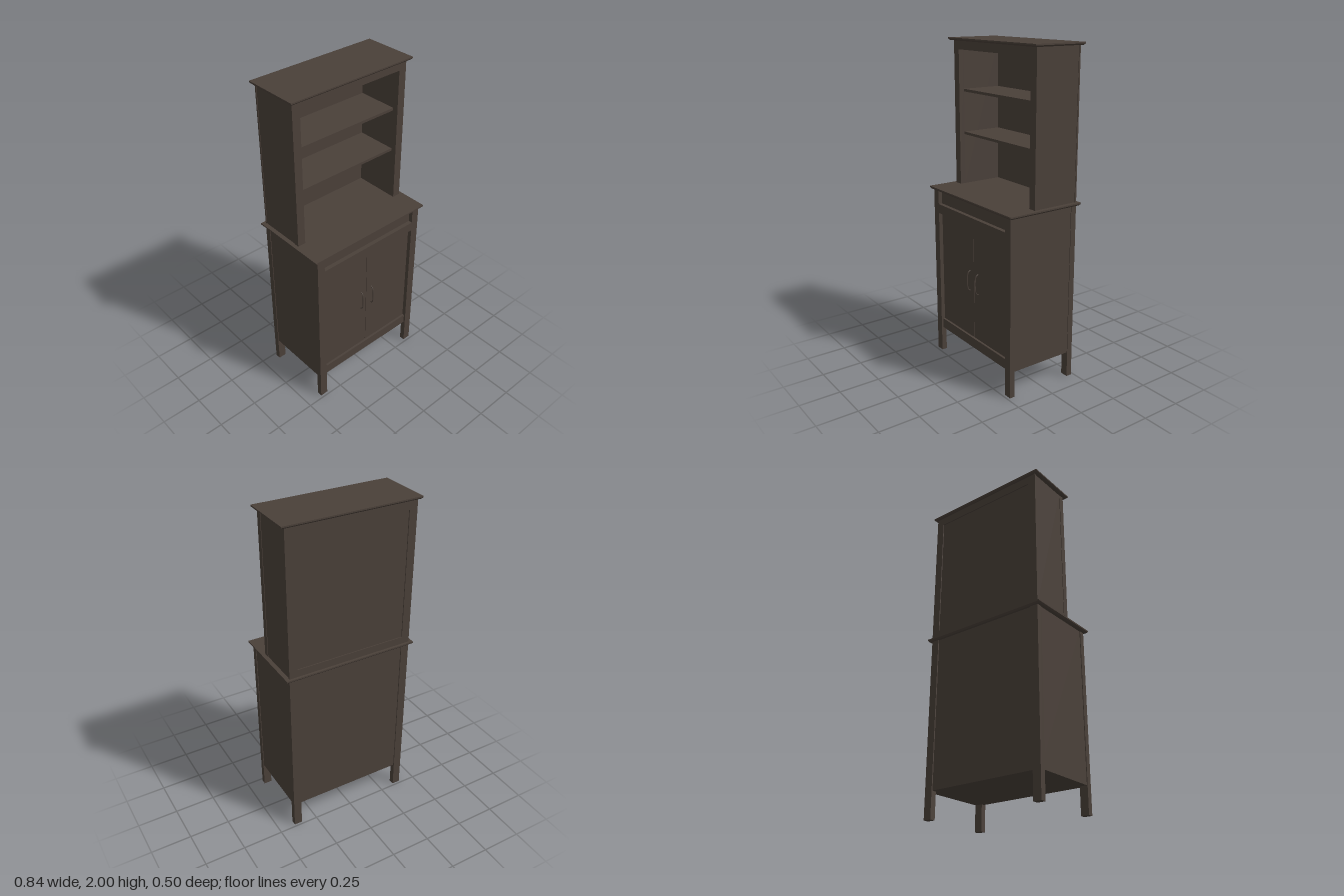
import * as THREE from 'three';

export function createModel() {
  const group = new THREE.Group();
  const wood = new THREE.MeshStandardMaterial({ color: 0x4a4039 });
  wood.name = 'dark brown wood';

  const add = (name, geometry) => {
    const mesh = new THREE.Mesh(geometry, wood);
    mesh.name = name;
    group.add(mesh);
    return mesh;
  };

  // Box given by its extents on each axis
  const box = (name, x0, x1, y0, y1, z0, z1) => {
    const g = new THREE.BoxGeometry(x1 - x0, y1 - y0, z1 - z0);
    g.translate((x0 + x1) / 2, (y0 + y1) / 2, (z0 + z1) / 2);
    return add(name, g);
  };

  // Overhanging board whose lower edge is chamfered inwards
  const board = (name, y0, y1, z0, z1) => {
    const mid = (y0 + y1) / 2, w = 0.42, cut = 0.008;
    box(name, -w, w, mid, y1, z0, z1);
    const g = new THREE.BoxGeometry(2 * w, mid - y0, z1 - z0);
    const p = g.attributes.position;
    for (let i = 0; i < p.count; i++) {
      if (p.getY(i) < 0) {
        p.setX(i, p.getX(i) - Math.sign(p.getX(i)) * cut);
        p.setZ(i, p.getZ(i) - Math.sign(p.getZ(i)) * cut);
      }
    }
    g.translate(0, (y0 + mid) / 2, (z0 + z1) / 2);
    g.computeVertexNormals();
    add(name + 'Chamfer', g);
  };

  const inner = 0.347, outer = 0.397, back = -0.235;

  // Posts, side panels and door handles, mirrored
  for (const s of [-1, 1]) {
    const side = s > 0 ? 'left' : 'right';
    const sideBox = (name, a, b, ...rest) =>
      box(side + name, Math.min(s * a, s * b), Math.max(s * a, s * b), ...rest);

    sideBox('FrontLeg', inner, outer, 0, 1.088, 0.2, 0.233);
    sideBox('BackLeg', inner, outer, 0, 1.088, back, -0.2);
    sideBox('UpperFrontPost', inner, outer, 1.105, 1.985, 0.033, 0.067);
    sideBox('UpperBackPost', inner, outer, 1.105, 1.985, back, -0.225);
    sideBox('UpperSidePanel', inner, 0.394, 1.105, 1.985, -0.225, 0.033);
    sideBox('Door', 0.0015, inner, 0.222, 0.942, 0.198, 0.208);

    // Bowed pull handle
    const path = new THREE.CatmullRomCurve3([
      [0.52, 0.206], [0.53, 0.222], [0.585, 0.229], [0.64, 0.222], [0.65, 0.206],
    ].map(([y, z]) => new THREE.Vector3(s * 0.042, y, z)));
    add(side + 'Handle', new THREE.TubeGeometry(path, 20, 0.0035, 8));
  }

  // Lower cabinet
  box('cabinetBody', -0.393, 0.393, 0.16, 1.088, -0.228, 0.199);
  box('drawerFront', -inner, inner, 1.0, 1.088, 0.198, 0.208);
  box('doorTopRail', -inner, inner, 0.942, 1.0, 0.198, 0.233);
  box('bottomRail', -inner, inner, 0.16, 0.222, 0.198, 0.222);
  board('counterTop', 1.088, 1.105, -0.25, 0.25);

  // Open upper shelves
  box('upperBackPanel', -inner, inner, 1.105, 1.985, -0.229, -0.222);
  box('upperFrontRail', -inner, inner, 1.932, 1.985, 0.038, 0.067);
  box('backTopRail', -inner, inner, 1.932, 1.985, back, -0.229);
  box('backBottomRail', -inner, inner, 1.105, 1.15, back, -0.229);
  for (const y of [1.417, 1.68]) box('shelf', -inner, inner, y, y + 0.016, -0.222, 0.033);
  board('topBoard', 1.984, 2.0, -0.25, 0.093);

  return group;
}
